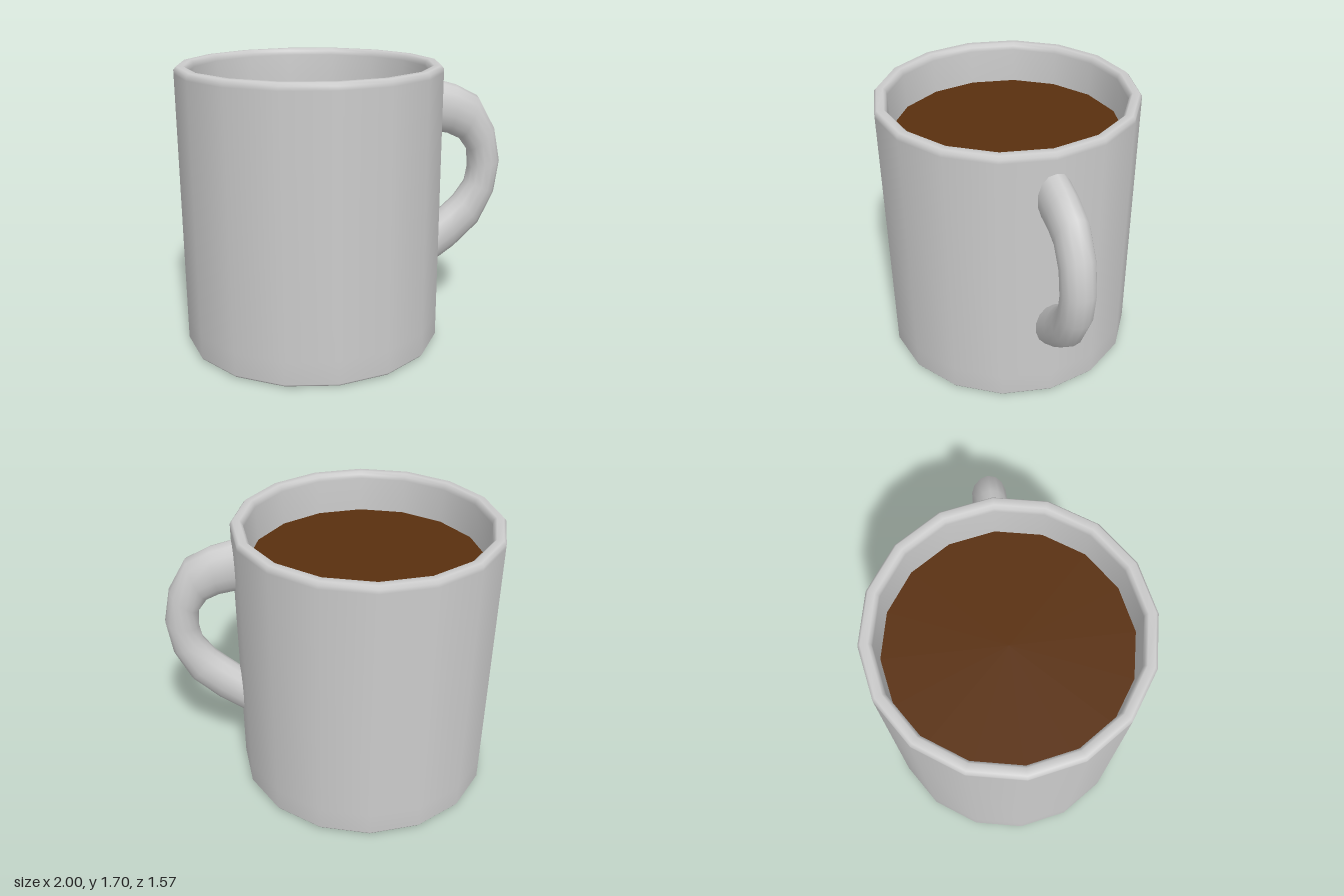
import * as THREE from 'three';

const SIDES = 16;
const CENTRE_X = -0.217;

// Closed profile: underside, outer wall, rounded rim, inner wall, inner floor
function buildCup(material) {
  const profile = [
    [0, 0], [0.7, 0], [0.73, 0.003], [0.775, 0.01], [0.783, 0.022], [0.783, 0.16],
    [0.783, 1.66], [0.783, 1.683], [0.768, 1.7], [0.728, 1.7], [0.712, 1.685],
    [0.708, 1.66], [0.698, 1.45], [0.69, 0.12], [0.66, 0.08], [0, 0.08],
  ].map(([r, y]) => new THREE.Vector2(r, y));
  const cup = new THREE.Mesh(new THREE.LatheGeometry(profile, SIDES), material);
  cup.name = 'cup';
  cup.position.x = CENTRE_X;
  return cup;
}

// Flat surface of the drink, with a vertex on the x axis like the cup
function buildDrink() {
  const geometry = new THREE.CircleGeometry(0.699, SIDES).rotateX(-Math.PI / 2);
  const drink = new THREE.Mesh(geometry, new THREE.MeshStandardMaterial({ color: 0x59300f }));
  drink.name = 'drink';
  drink.position.set(CENTRE_X, 1.45, 0);
  return drink;
}

// Handle: elliptical rings spanning outer and inner edge points, flared at both ends
function buildHandle(material) {
  const sections = [
    // outer x, y, inner x, y
    [0.5, 1.59, 0.5, 1.26],
    [0.565, 1.578, 0.57, 1.255],
    [0.695, 1.54, 0.65, 1.238],
    [0.84, 1.465, 0.73, 1.2],
    [0.952, 1.27, 0.787, 1.12],
    [0.997, 1.055, 0.796, 1.01],
    [0.968, 0.845, 0.78, 0.92],
    [0.87, 0.64, 0.71, 0.825],
    [0.705, 0.487, 0.65, 0.772],
    [0.565, 0.393, 0.57, 0.705],
    [0.5, 0.35, 0.5, 0.65],
  ];
  const ring = 14, halfWidth = 0.1;
  const positions = [], index = [];
  sections.forEach(([ox, oy, ix, iy], s) => {
    for (let k = 0; k < ring; k++) {
      const a = (k / ring) * Math.PI * 2;
      const t = (1 + Math.cos(a)) / 2;
      positions.push(ix + (ox - ix) * t, iy + (oy - iy) * t, halfWidth * Math.sin(a));
      if (s === sections.length - 1) continue;
      const p = s * ring + k, q = s * ring + ((k + 1) % ring);
      index.push(p, q, p + ring, q, q + ring, p + ring);
    }
  });
  const geometry = new THREE.BufferGeometry();
  geometry.setAttribute('position', new THREE.Float32BufferAttribute(positions, 3));
  geometry.setIndex(index);
  geometry.computeVertexNormals();
  const handle = new THREE.Mesh(geometry, material);
  handle.name = 'handle';
  return handle;
}

export function createModel() {
  const grey = new THREE.MeshStandardMaterial({ color: 0xcccccc });
  const mug = new THREE.Group();
  mug.name = 'mug';
  mug.add(buildCup(grey), buildDrink(), buildHandle(grey));
  return mug;
}
